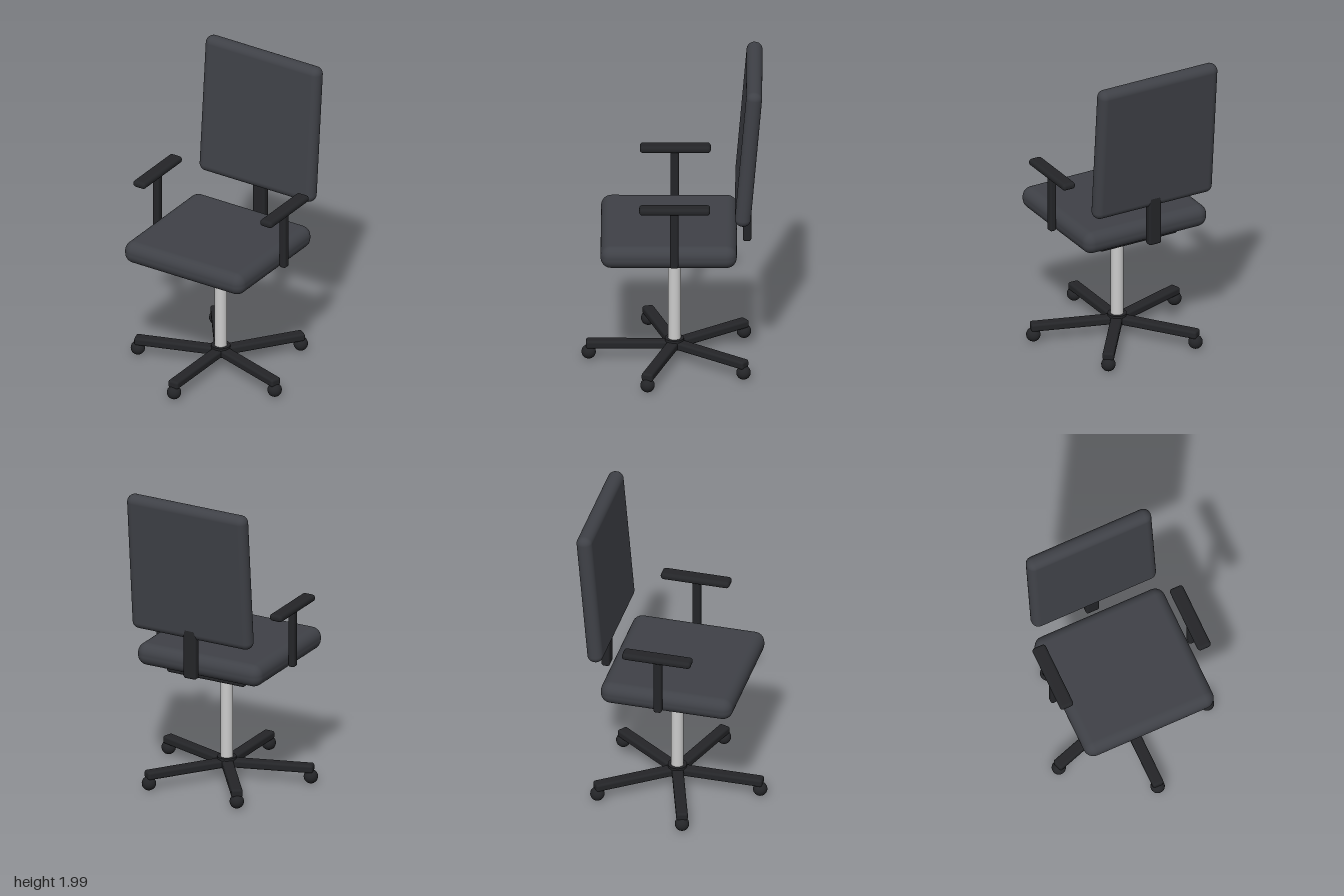
import * as THREE from 'three';
import { RoundedBoxGeometry } from 'three/addons/geometries/RoundedBoxGeometry.js';

const fabric = new THREE.MeshStandardMaterial({ color: 0x3f4147 });
const plastic = new THREE.MeshStandardMaterial({ color: 0x242528 });
const steel = new THREE.MeshStandardMaterial({ color: 0xcccccc });

const AXIS_Z = -0.013; // centre line of the column

export function createModel() {
  const chair = new THREE.Group();
  chair.name = 'officeChair';

  const add = (parent, name, geometry, material, x, y, z) => {
    const mesh = new THREE.Mesh(geometry, material);
    mesh.name = name;
    mesh.position.set(x, y, z);
    parent.add(mesh);
    return mesh;
  };
  const box = (w, h, d, r) => new RoundedBoxGeometry(w, h, d, 5, r);

  // Cushions; the backrest leans slightly backwards
  add(chair, 'seat', box(0.885, 0.145, 0.85, 0.065), fabric, 0, 0.873, 0.021);
  const back = add(chair, 'backrest', box(0.85, 0.92, 0.1, 0.048), fabric, 0, 1.54, -0.477);
  back.rotation.x = -0.085;

  // Support plate, backrest post and gas column
  add(chair, 'backPost', box(0.09, 0.36, 0.053, 0.015), plastic, 0, 1.003, -0.467);
  add(chair, 'seatPlate', box(0.555, 0.055, 0.555, 0.016), plastic, 0, 0.776, AXIS_Z);
  add(chair, 'column', new THREE.CylinderGeometry(0.04, 0.04, 0.66, 32), steel, 0, 0.43, AXIS_Z);

  // Armrests
  for (const [side, s] of [['left', 1], ['right', -1]]) {
    const arm = new THREE.Group();
    arm.name = side + 'Armrest';
    add(arm, 'armPost', box(0.046, 0.38, 0.053, 0.015), plastic, s * 0.472, 1.027, AXIS_Z);
    add(arm, 'armPad', box(0.09, 0.045, 0.443, 0.02), plastic, s * 0.472, 1.232, -0.017);
    chair.add(arm);
  }

  // Five-legged base, first leg pointing forward
  const base = new THREE.Group();
  base.name = 'starBase';
  base.position.z = AXIS_Z;
  add(base, 'hub', new THREE.CylinderGeometry(0.06, 0.06, 0.065, 32), plastic, 0, 0.114, 0);
  for (let i = 0; i < 5; i++) {
    const leg = new THREE.Group();
    leg.name = 'leg' + (i + 1);
    leg.rotation.y = (i * Math.PI * 2) / 5;
    add(leg, 'legBar', box(0.073, 0.052, 0.555, 0.015), plastic, 0, 0.106, 0.275);
    add(leg, 'caster', new THREE.SphereGeometry(0.045, 24, 16), plastic, 0, 0.05, 0.535);
    base.add(leg);
  }
  chair.add(base);

  return chair;
}
